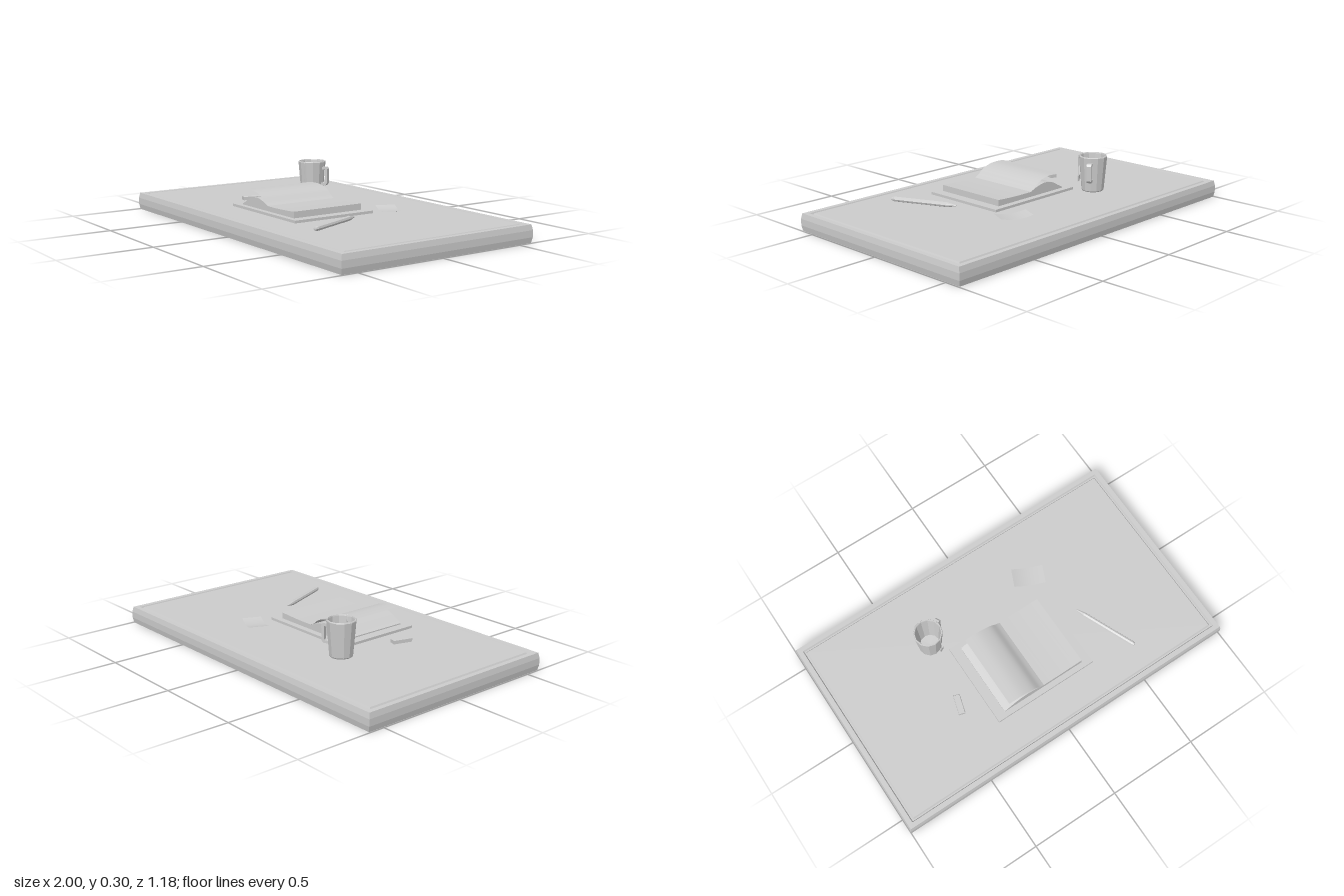
import * as THREE from 'three';

const mat = new THREE.MeshStandardMaterial({ color: 0xcccccc, flatShading: true });
const thin = new THREE.MeshStandardMaterial({ color: 0xcccccc, side: THREE.DoubleSide });
const smooth = new THREE.MeshStandardMaterial({ color: 0xcccccc });
const TOP = 0.095;

function add(parent, name, geometry, material = mat) {
  const m = new THREE.Mesh(geometry, material);
  m.name = name;
  parent.add(m);
  return m;
}

// Stack of rectangular rings [halfX, halfZ, y], capped at both ends
function rectLoft(rings) {
  const corners = [[1, 1], [1, -1], [-1, -1], [-1, 1]];
  const pos = [];
  const P = (r, k) => [corners[k % 4][0] * r[0], r[2], corners[k % 4][1] * r[1]];
  const quad = (a, b, c, d) => pos.push(...a, ...b, ...c, ...a, ...c, ...d);
  for (let i = 0; i < rings.length - 1; i++)
    for (let k = 0; k < 4; k++)
      quad(P(rings[i], k), P(rings[i], k + 1), P(rings[i + 1], k + 1), P(rings[i + 1], k));
  const first = rings[0], last = rings[rings.length - 1];
  quad(P(last, 0), P(last, 1), P(last, 2), P(last, 3));
  quad(P(first, 3), P(first, 2), P(first, 1), P(first, 0));
  const g = new THREE.BufferGeometry();
  g.setAttribute('position', new THREE.Float32BufferAttribute(pos, 3));
  g.computeVertexNormals();
  return g;
}

const v2 = (pts) => pts.map(([x, y]) => new THREE.Vector2(x, y));

function extrudeZ(shape, z0, z1, curveSegments = 12) {
  return new THREE.ExtrudeGeometry(shape, { depth: z1 - z0, bevelEnabled: false, curveSegments }).translate(0, 0, z0);
}

function tableTop(g) {
  // Slab with softened edge and a groove running just inside the rim
  const inset = (d, y) => [1 - d, 0.59 - d, y];
  add(g, 'tableTop', rectLoft([
    inset(0.006, 0), inset(0, 0.03), inset(0, 0.066), inset(0.006, TOP),
    inset(0.032, TOP), inset(0.037, TOP - 0.01), inset(0.044, TOP - 0.01), inset(0.05, TOP),
  ]));
}

function book(parent) {
  const g = new THREE.Group();
  g.name = 'openBook';
  parent.add(g);
  add(g, 'bookCover', new THREE.BoxGeometry(0.606, 0.014, 0.49).translate(-0.002, TOP + 0.007, 0.12));

  const z0 = -0.09, z1 = 0.335;
  // Right page block, nearly flat
  const right = new THREE.Shape();
  right.moveTo(-0.005, 0.107);
  right.lineTo(0.245, 0.107);
  right.lineTo(0.245, 0.143);
  right.quadraticCurveTo(0.12, 0.134, -0.005, 0.136);
  add(g, 'rightPages', extrudeZ(right, z0, z1), smooth);

  // Left page block, arched towards the spine
  const left = new THREE.Shape();
  left.moveTo(-0.25, 0.107);
  left.lineTo(-0.005, 0.107);
  left.lineTo(-0.005, 0.138);
  left.splineThru(v2([[-0.05, 0.155], [-0.11, 0.166], [-0.17, 0.156], [-0.22, 0.13], [-0.25, 0.115]]));
  add(g, 'leftPages', extrudeZ(left, z0, z1, 20), smooth);

  // Loose page in the middle of turning
  const curl = new THREE.SplineCurve(v2([
    [0, 0.137], [-0.025, 0.15], [-0.06, 0.176], [-0.1, 0.191], [-0.15, 0.199], [-0.22, 0.198],
  ]));
  const page = new THREE.PlaneGeometry(1, 1, 24, 1);
  const p = page.attributes.position;
  for (let i = 0; i < p.count; i++) {
    const c = curl.getPoint(0.5 - p.getX(i));
    p.setXYZ(i, c.x, c.y, p.getY(i) > 0 ? z0 : z1);
  }
  page.computeVertexNormals();
  add(g, 'turningPage', page, thin);
}

function mug(parent) {
  const g = new THREE.Group();
  g.name = 'mug';
  g.position.set(-0.375, TOP, -0.205);
  parent.add(g);
  add(g, 'mugBody', new THREE.LatheGeometry(v2([
    [0, 0], [0.058, 0], [0.062, 0.006], [0.078, 0.192], [0.076, 0.196],
    [0.071, 0.196], [0.069, 0.19], [0.054, 0.015], [0, 0.012],
  ]), 12));

  // Squared handle
  const c = new THREE.Shape(v2([
    [0.064, 0.06], [0.092, 0.06], [0.102, 0.072], [0.104, 0.155], [0.096, 0.166], [0.068, 0.166],
    [0.068, 0.152], [0.088, 0.152], [0.09, 0.15], [0.088, 0.078], [0.084, 0.074], [0.064, 0.074],
  ]));
  add(g, 'mugHandle', extrudeZ(c, -0.013, 0.013)).rotation.y = 0.48;

  // Tea bag string over the rim with its tag
  const tea = new THREE.Group();
  tea.name = 'teaBag';
  tea.rotation.y = 0.4;
  g.add(tea);
  const path = new THREE.CatmullRomCurve3(
    [[0.1, 0.062], [0.19, 0.069], [0.2, 0.075], [0.19, 0.081], [0.075, 0.08]].map(([y, z]) => new THREE.Vector3(0, y, z)));
  add(tea, 'string', new THREE.TubeGeometry(path, 16, 0.002, 5));
  add(tea, 'tag', new THREE.BoxGeometry(0.025, 0.032, 0.004).translate(0, 0.058, 0.08));
}

function pen(parent) {
  const g = new THREE.LatheGeometry(v2([
    [0, -0.188], [0.004, -0.186], [0.0135, -0.135], [0.0135, 0.168], [0.009, 0.184], [0, 0.186],
  ]), 8);
  g.rotateX(Math.PI / 2);
  const m = add(parent, 'pen', g);
  m.position.set(0.469, TOP + 0.017, 0.242);
  m.rotation.y = Math.atan2(0.145, 0.34);
}

function eraser(parent) {
  const m = add(parent, 'eraser', rectLoft([
    [0.018, 0.054, 0], [0.018, 0.054, 0.019], [0.015, 0.051, 0.023],
  ]));
  m.position.set(-0.428, TOP, 0.167);
  m.rotation.y = -0.28;
}

function note(parent) {
  // Paper scrap with lifted ends
  const g = new THREE.PlaneGeometry(0.175, 0.106, 16, 1).rotateX(-Math.PI / 2);
  const p = g.attributes.position;
  for (let i = 0; i < p.count; i++) {
    const u = p.getX(i) / 0.0875;
    p.setY(i, 0.002 + (u < 0 ? 0.014 : 0.01) * u * u);
  }
  g.computeVertexNormals();
  const m = add(parent, 'paperNote', g, thin);
  m.position.set(0.292, TOP, -0.242);
  m.rotation.y = -0.42;
}

export function createModel() {
  const model = new THREE.Group();
  model.name = 'deskTopScene';
  [tableTop, book, mug, pen, eraser, note].forEach((build) => build(model));
  return model;
}
